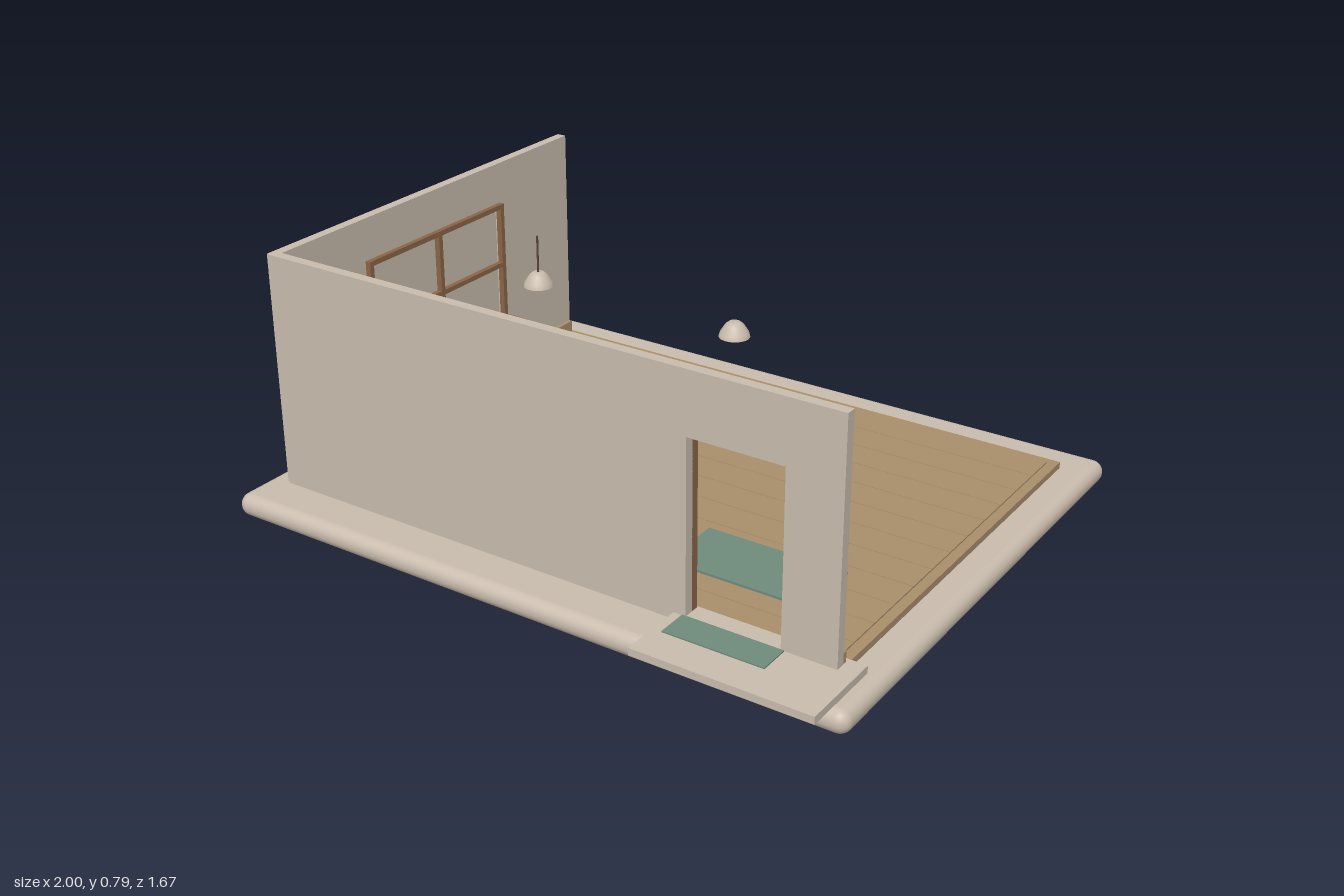
import * as THREE from 'three';
import { RoundedBoxGeometry } from 'three/addons/geometries/RoundedBoxGeometry.js';

const mat = (name, color, side = THREE.FrontSide) => {
  const m = new THREE.MeshStandardMaterial({ color, side });
  m.name = name;
  return m;
};

export function createModel() {
  const plaster = mat('plaster', 0xc9bcad);
  const floorWood = mat('floor wood', 0xa98e6b);
  const darkWood = mat('dark wood', 0x8b6547);
  const fabric = mat('green fabric', 0x6f8b7b);
  const shadeMat = mat('lamp shade', 0xc9bdac, THREE.DoubleSide);
  const metal = mat('dark brown metal', 0x5e4534);
  const paper = mat('picture paper', 0xcfc5b6);
  const leaf = mat('leaf green', 0x5f8a6a);

  const root = new THREE.Group();
  root.name = 'openRoom';

  const add = (name, geometry, material, parent = root) => {
    const mesh = new THREE.Mesh(geometry, material);
    mesh.name = name;
    parent.add(mesh);
    return mesh;
  };
  // Box given by its minimum and maximum on each axis
  const box = (name, material, x0, x1, y0, y1, z0, z1, parent = root) => {
    const m = add(name, new THREE.BoxGeometry(x1 - x0, y1 - y0, z1 - z0), material, parent);
    m.position.set((x0 + x1) / 2, (y0 + y1) / 2, (z0 + z1) / 2);
    return m;
  };
  const group = (name) => {
    const g = new THREE.Group();
    g.name = name;
    root.add(g);
    return g;
  };
  const outline = (points, Type = THREE.Shape) => new Type(points.map(([x, y]) => new THREE.Vector2(x, y)));
  const extrude = (shape, depth) => new THREE.ExtrudeGeometry(shape, { depth, bevelEnabled: false });

  // Rounded base slab
  const base = add('base', new RoundedBoxGeometry(2, 0.07, 1.6, 5, 0.034), plaster);
  base.position.set(0, 0.035, -0.04);

  // Floor slab with planks on top
  box('floorSlab', floorWood, -0.91, 0.905, 0.066, 0.09, -0.71, 0.62);
  const planks = group('floorPlanks');
  const count = 12, z0 = -0.68, z1 = 0.605, step = (z1 - z0) / count;
  for (let i = 0; i < count; i++) {
    box('plank', floorWood, -0.887, 0.875, 0.088, 0.095, z0 + i * step, z0 + (i + 1) * step - 0.002, planks);
  }

  // Front wall with the doorway
  const frontShape = outline([
    [-0.907, 0.08], [0.467, 0.08], [0.467, 0.605], [0.746, 0.605],
    [0.746, 0.08], [0.905, 0.08], [0.905, 0.786], [-0.907, 0.786],
  ]);
  add('frontWall', extrude(frontShape, 0.03), plaster).position.z = 0.605;

  // Side wall with the window opening, drawn in z and y
  const sideShape = outline([[-0.7, 0.08], [0.63, 0.08], [0.63, 0.785], [-0.7, 0.785]]);
  sideShape.holes.push(outline([[-0.335, 0.268], [-0.335, 0.648], [0.255, 0.648], [0.255, 0.268]], THREE.Path));
  const sideWall = add('sideWall', extrude(sideShape, 0.03), plaster);
  sideWall.rotation.y = -Math.PI / 2;
  sideWall.position.x = -0.887;

  // Skirting boards
  box('skirtingSide', floorWood, -0.888, -0.874, 0.09, 0.132, -0.695, 0.605);
  box('skirtingFront', floorWood, -0.887, 0.437, 0.09, 0.132, 0.592, 0.606);
  box('skirtingFrontEnd', floorWood, 0.776, 0.905, 0.09, 0.132, 0.592, 0.606);

  // Window: pane, frame, glazing bars and sill
  const win = group('window');
  box('pane', plaster, -0.894, -0.889, 0.274, 0.643, -0.329, 0.249, win);
  for (const [a, b] of [[-0.348, -0.332], [-0.048, -0.032], [0.26, 0.276]]) {
    box('upright', darkWood, -0.888, -0.87, 0.262, 0.656, a, b, win);
  }
  for (const [a, b] of [[0.64, 0.656], [0.447, 0.462]]) {
    box('crossbar', darkWood, -0.888, -0.871, a, b, -0.345, 0.273, win);
  }
  box('sill', darkWood, -0.888, -0.807, 0.254, 0.268, -0.368, 0.288, win);

  // Door frame on the inner side
  const door = group('doorFrame');
  box('doorPost', darkWood, 0.437, 0.467, 0.09, 0.63, 0.582, 0.606, door);
  box('doorPost', darkWood, 0.746, 0.776, 0.09, 0.63, 0.582, 0.606, door);
  box('doorLintel', darkWood, 0.467, 0.746, 0.605, 0.63, 0.582, 0.606, door);

  // Doorstep, mat and rug
  box('doorstep', plaster, 0.43, 0.957, 0.078, 0.1, 0.577, 0.835);
  box('doormat', fabric, 0.458, 0.757, 0.099, 0.104, 0.637, 0.73);
  box('rug', fabric, 0.27, 0.703, 0.094, 0.102, 0.217, 0.427);

  // Two wall shelves, each on three brackets
  for (const top of [0.54, 0.39]) {
    const shelf = group('wallShelf');
    box('board', darkWood, -0.68, 0.355, top - 0.016, top, 0.465, 0.606, shelf);
    for (const x of [-0.58, -0.162, 0.255]) {
      box('bracket', darkWood, x - 0.01, x + 0.01, top - 0.068, top - 0.015, 0.485, 0.606, shelf);
    }
  }

  // Low wall cabinet with drawer handles
  const cabinet = group('cabinet');
  box('cabinetBody', darkWood, -0.37, 0.05, 0.117, 0.198, 0.497, 0.606, cabinet);
  for (const x of [-0.265, -0.055]) {
    box('handle', metal, x - 0.03, x + 0.03, 0.154, 0.164, 0.49, 0.498, cabinet);
  }

  // Framed plant pictures
  for (const x of [-0.55, -0.35]) {
    const picture = group('picture');
    box('frame', darkWood, x - 0.062, x + 0.062, 0.613, 0.75, 0.59, 0.606, picture);
    box('paper', paper, x - 0.05, x + 0.05, 0.625, 0.738, 0.587, 0.591, picture);
    box('stem', leaf, x - 0.002, x + 0.002, 0.645, 0.705, 0.584, 0.588, picture);
    for (const [dx, y, turn] of [[-0.011, 0.67, 0.6], [0.011, 0.68, -0.6], [-0.009, 0.697, 0.5], [0, 0.71, 0]]) {
      const l = add('leaf', new THREE.SphereGeometry(1, 10, 6), leaf, picture);
      l.scale.set(0.008, 0.015, 0.004);
      l.position.set(x + dx, y, 0.585);
      l.rotation.z = turn;
    }
  }

  // Pendant lamps; only the first has a cord
  const profile = [[0.043, 0.622], [0.04, 0.634], [0.026, 0.656], [0.016, 0.664], [0, 0.664]];
  [-0.405, 0.257].forEach((x, i) => {
    const lamp = group('pendantLamp');
    lamp.position.set(x, 0, 0.08);
    add('shade', new THREE.LatheGeometry(profile.map(([r, y]) => new THREE.Vector2(r, y)), 24), shadeMat, lamp);
    add('bulb', new THREE.SphereGeometry(0.017, 16, 10), shadeMat, lamp).position.y = 0.628;
    if (i === 0) {
      add('cord', new THREE.CylinderGeometry(0.003, 0.003, 0.112, 8), metal, lamp).position.y = 0.717;
    }
  });

  return root;
}
